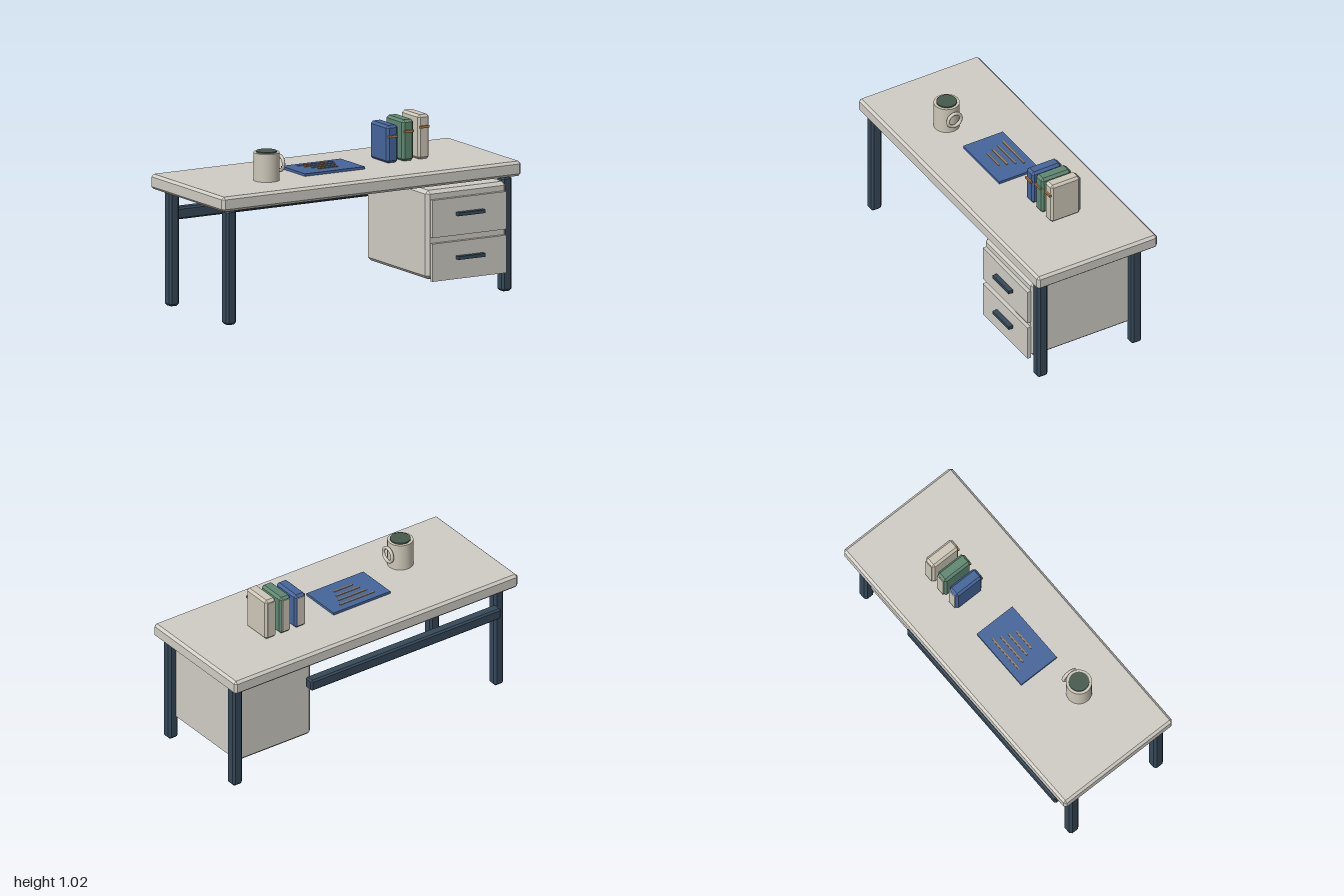
import * as THREE from 'three';
import { ConvexGeometry } from 'three/addons/geometries/ConvexGeometry.js';

const COLORS = {
  desk: 0xd0cdc5, metal: 0x364858, blue: 0x45659b, green: 0x5f8872,
  cream: 0xcdc7b8, tan: 0xb0803f, drink: 0x465a4c,
};
const materials = {};
for (const key in COLORS) materials[key] = new THREE.MeshStandardMaterial({ color: COLORS[key] });

// Box with every edge cut by a chamfer c
function chamferBox(w, h, d, c) {
  const points = [];
  for (const x of [-1, 1]) for (const y of [-1, 1]) for (const z of [-1, 1]) {
    const a = w / 2, b = h / 2, e = d / 2;
    points.push(
      new THREE.Vector3(x * a, y * (b - c), z * (e - c)),
      new THREE.Vector3(x * (a - c), y * b, z * (e - c)),
      new THREE.Vector3(x * (a - c), y * (b - c), z * e));
  }
  return new ConvexGeometry(points);
}

export function createModel() {
  const desk = new THREE.Group();
  desk.name = 'desk';

  function add(name, geometry, color, x, y, z, parent = desk) {
    const mesh = new THREE.Mesh(geometry, materials[color]);
    mesh.name = name;
    mesh.position.set(x, y, z);
    parent.add(mesh);
    return mesh;
  }

  // Box given by its limits on each axis, optionally chamfered
  function block(name, color, [x0, x1], [y0, y1], [z0, z1], c = 0, parent = desk) {
    const size = [x1 - x0, y1 - y0, z1 - z0];
    const geometry = c ? chamferBox(...size, c) : new THREE.BoxGeometry(...size);
    return add(name, geometry, color, (x0 + x1) / 2, (y0 + y1) / 2, (z0 + z1) / 2, parent);
  }

  function group(name) {
    const g = new THREE.Group();
    g.name = name;
    desk.add(g);
    return g;
  }

  const TOP = 0.757;

  // Frame: top, four legs and the rear stretcher
  block('deskTop', 'desk', [-1, 1], [0.67, TOP], [-0.417, 0.383], 0.015);
  for (const x of [-0.922, 0.922]) {
    for (const [name, z] of [['frontLeg', 0.32], ['backLeg', -0.305]]) {
      add(name, chamferBox(0.066, 0.67, 0.068, 0.013), 'metal', x, 0.335, z);
    }
  }
  block('rearStretcher', 'metal', [-0.89, 0.45], [0.488, 0.558], [-0.4, -0.335], 0.01);

  // Drawer cabinet with two fronts and bar handles
  const cabinet = group('drawerCabinet');
  block('cabinetBody', 'desk', [0.375, 0.91], [0.127, 0.645], [-0.3, 0.367], 0.02, cabinet);
  for (const y of [0.228, 0.483]) {
    block('drawerFront', 'desk', [0.398, 0.893], [y - 0.11, y + 0.11], [0.366, 0.39], 0, cabinet);
    block('drawerHandle', 'metal', [0.555, 0.735], [y + 0.006, y + 0.026], [0.39, 0.42], 0, cabinet);
  }

  // Mug with its drink and ring handle
  const mug = group('mug');
  mug.position.set(-0.523, TOP, 0.078);
  add('mugBody', new THREE.CylinderGeometry(0.075, 0.075, 0.163, 32), 'cream', 0, 0.0815, 0, mug);
  add('drink', new THREE.CylinderGeometry(0.059, 0.059, 0.01, 32), 'drink', 0, 0.166, 0, mug);
  const ring = add('mugHandle', new THREE.TorusGeometry(0.043, 0.01, 10, 32), 'cream', 0.088, 0.09, 0, mug);
  ring.rotation.y = Math.PI / 2;

  // Writing pad with four ruled lines
  const pad = group('writingPad');
  block('padSheet', 'blue', [-0.285, 0.115], [TOP, 0.772], [-0.153, 0.11], 0, pad);
  [0.12, 0.1, 0.082, 0.066].forEach((half, i) => {
    const z = -0.104 + i * 0.045;
    block('padLine', 'tan', [-0.085 - half, -0.085 + half], [0.772, 0.776], [z - 0.004, z + 0.004], 0, pad);
  });

  // Upright books: cover, page block at the back, band on the spine
  [['blue', 0.342, 0.976, 0.912], ['green', 0.447, 0.998, 0.932], ['cream', 0.552, 1.017, 0.947]]
    .forEach(([color, x, top, band]) => {
      const book = group('book');
      block('bookCover', color, [x - 0.038, x + 0.038], [TOP, top], [-0.147, 0.047], 0.014, book);
      block('bookPages', 'cream', [x - 0.026, x + 0.026], [0.776, top - 0.016], [-0.152, -0.13], 0, book);
      block('bookBand', 'tan', [x - 0.029, x + 0.029], [band - 0.007, band + 0.007], [0.035, 0.056], 0, book);
    });

  return desk;
}
